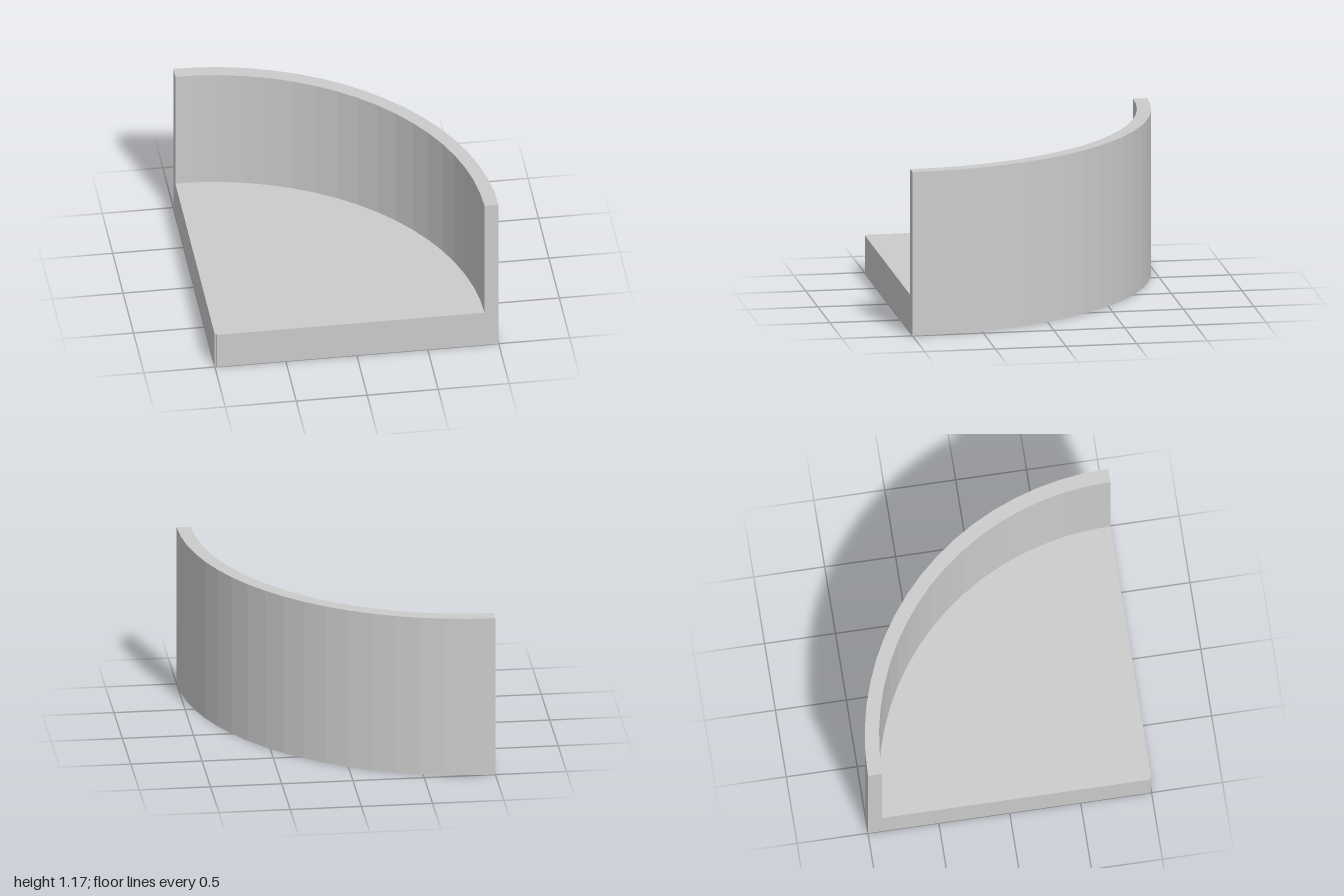
import * as THREE from 'three';

// Cross-section (radius, height), counterclockwise: floor slab with an upright rim
const PROFILE = [[0.015, 0], [2, 0], [2, 1.17], [1.9, 1.17], [1.9, 0.27], [0.015, 0.27]]
  .map(([r, y]) => new THREE.Vector2(r, y));

export function createModel() {
  const group = new THREE.Group();
  group.name = 'quarterRoundTray';
  const material = new THREE.MeshStandardMaterial({ color: 0xcccccc, flatShading: true });

  const add = (name, geometry) => {
    const mesh = new THREE.Mesh(geometry, material);
    mesh.name = name;
    mesh.position.set(-1, 0, 1); // centre of the quarter circle
    group.add(mesh);
  };

  // Floor and curved wall: the closed section swept through 90 degrees in 18 facets
  const sweep = new THREE.LatheGeometry([...PROFILE, PROFILE[0].clone()], 18, Math.PI / 2, Math.PI / 2).toNonIndexed();
  sweep.computeVertexNormals();
  add('floorAndCurvedWall', sweep);

  // Flat L-shaped ends closing the sweep at the front and on the right
  add('frontEnd', new THREE.ShapeGeometry(new THREE.Shape(PROFILE)));
  const mirrored = PROFILE.map((p) => new THREE.Vector2(-p.x, p.y));
  add('rightEnd', new THREE.ShapeGeometry(new THREE.Shape(mirrored)).rotateY(-Math.PI / 2));

  return group;
}
